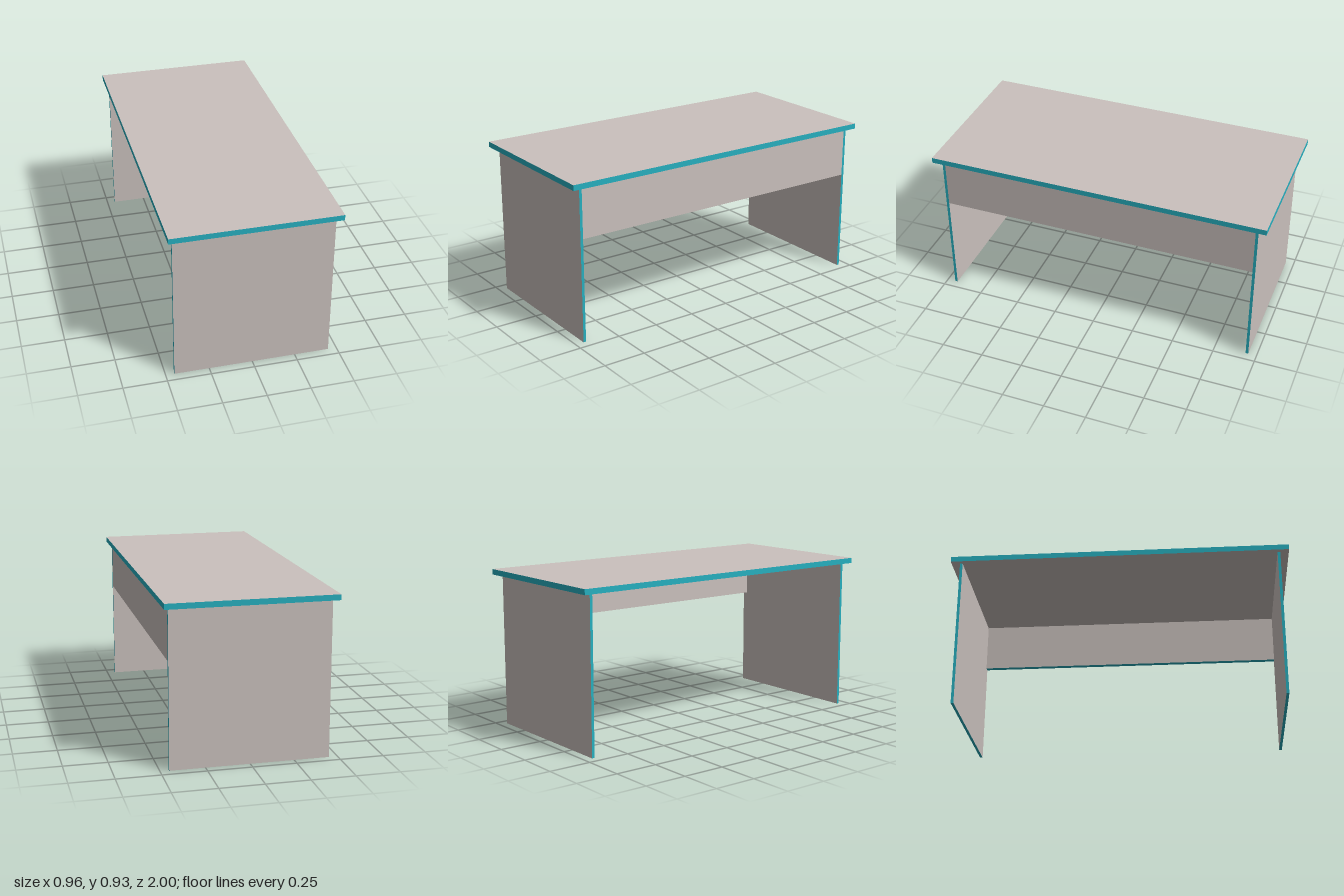
import * as THREE from 'three';

const board = new THREE.MeshStandardMaterial({ color: 0xcac1bd });
const edging = new THREE.MeshStandardMaterial({ color: 0x27b0c0 });

// A board with plain broad faces across its thin axis (0 x, 1 y, 2 z) and coloured edge banding
function panel(name, size, position, thinAxis) {
  const materials = Array.from({ length: 6 }, (_, face) =>
    Math.floor(face / 2) === thinAxis ? board : edging);
  const mesh = new THREE.Mesh(new THREE.BoxGeometry(...size), materials);
  mesh.name = name;
  mesh.position.set(...position);
  return mesh;
}

export function createModel() {
  const desk = new THREE.Group();
  desk.name = 'desk';

  const legHeight = 0.9, legDepth = 0.9, legThickness = 0.016, legZ = 0.942;
  const topThickness = 0.032;

  // Overhanging top
  desk.add(panel('deskTop', [0.957, topThickness, 2], [0, legHeight + topThickness / 2, 0], 1));

  // Slab legs at both ends
  for (const side of [1, -1]) {
    desk.add(panel(side > 0 ? 'frontLeg' : 'backLeg',
      [legDepth, legHeight, legThickness], [0, legHeight / 2, side * legZ], 2));
  }

  // Modesty panel between the legs, flush with their +x edges
  const height = 0.293, thickness = 0.03;
  desk.add(panel('modestyPanel', [thickness, height, 2 * legZ - legThickness],
    [legDepth / 2 - thickness / 2, legHeight - height / 2, 0], 0));

  return desk;
}
